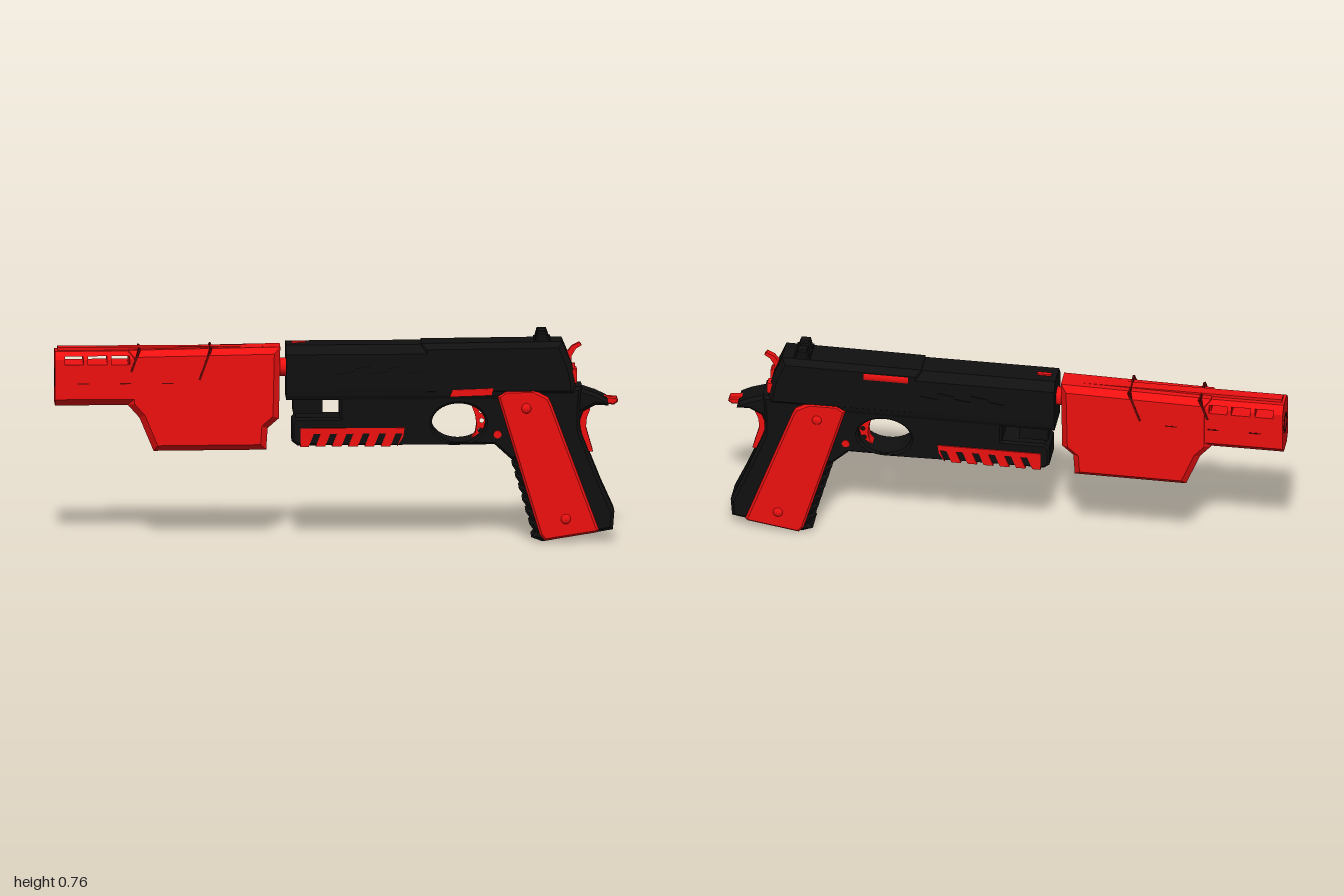
import * as THREE from 'three';

const red = new THREE.MeshStandardMaterial({ color: 0xee1010 });
const black = new THREE.MeshStandardMaterial({ color: 0x101010 });
const darkRed = new THREE.MeshStandardMaterial({ color: 0x5a0505 });

const toShape = (pts) => new THREE.Shape(pts.map(([x, y]) => new THREE.Vector2(x, y)));

export function createModel() {
  const model = new THREE.Group();

  function add(name, geo, mat, x = 0, y = 0, z = 0) {
    const mesh = new THREE.Mesh(geo, mat);
    mesh.name = name;
    mesh.position.set(x, y, z);
    model.add(mesh);
    return mesh;
  }
  // Side outline in x/y, given thickness between z0 and z1, chamfered edges
  function plate(name, outline, z0, z1, mat, bevel = 0) {
    const shape = Array.isArray(outline) ? toShape(outline) : outline;
    const geo = new THREE.ExtrudeGeometry(shape, {
      depth: z1 - z0 - 2 * bevel, bevelEnabled: bevel > 0, bevelSegments: 1,
      bevelSize: bevel, bevelThickness: bevel, bevelOffset: -bevel, curveSegments: 20,
    });
    return add(name, geo.translate(0, 0, z0 + bevel), mat);
  }
  // Cross-section of [half width, y] pairs, mirrored and run along x
  function bar(name, half, x0, x1, mat, z = 0) {
    const pts = [...half, ...half.slice().reverse().map(([w, y]) => [-w, y])];
    const geo = new THREE.ExtrudeGeometry(toShape(pts), { depth: x1 - x0, bevelEnabled: false });
    return add(name, geo.rotateY(Math.PI / 2), mat, x0, 0, z);
  }
  function box(name, x0, x1, y0, y1, z0, z1, mat) {
    return add(name, new THREE.BoxGeometry(x1 - x0, y1 - y0, z1 - z0), mat,
      (x0 + x1) / 2, (y0 + y1) / 2, (z0 + z1) / 2);
  }

  // Front shroud: vented barrel end, deep body behind it
  const sz = -0.006;
  bar('shroudFrontLower', [[0.035, 0.5], [0.06, 0.525], [0.06, 0.65]], -1, -0.62, red, sz);
  bar('shroudFrontCap', [[0.053, 0.68], [0.035, 0.695]], -1, -0.62, red, sz);
  for (const [x0, x1] of [[-1, -0.965], [-0.9, -0.883], [-0.815, -0.8], [-0.735, -0.62]])
    bar('shroudVentPost', [[0.06, 0.65], [0.06, 0.668], [0.053, 0.68]], x0, x1, red, sz);
  plate('shroudBody', [[-0.74, 0.5], [-0.7, 0.455], [-0.65, 0.335], [-0.25, 0.337], [-0.245, 0.415],
    [-0.205, 0.45], [-0.2, 0.707], [-0.74, 0.698]], sz - 0.061, sz + 0.061, red, 0.022);
  bar('shroudTopRib', [[0.018, 0.69], [0.018, 0.706]], -0.99, -0.21, red, sz);
  for (const [x, y, len] of [[-0.715, 0.663, 0.085], [-0.467, 0.65, 0.12]]) {
    const seam = add('shroudSeam', new THREE.BoxGeometry(0.008, len, 0.124), darkRed, x, y, sz);
    seam.rotation.z = -0.35;
  }
  for (const x of [-0.9, -0.75, -0.6])
    box('shroudMark', x - 0.02, x + 0.02, 0.58, 0.584, sz - 0.062, sz + 0.062, darkRed);
  const ring = add('muzzleRing', new THREE.TorusGeometry(0.032, 0.006, 8, 24), black, -1, 0.6, sz);
  ring.rotation.y = Math.PI / 2;
  ring.scale.z = 0.3;
  const link = add('barrelLink', new THREE.CylinderGeometry(0.033, 0.033, 0.1, 20), red, -0.19, 0.63, 0);
  link.rotation.z = Math.PI / 2;

  // Slide with chamfered top
  bar('slide', [[0.06, 0.52], [0.067, 0.535], [0.07, 0.56], [0.07, 0.685], [0.045, 0.716]], -0.18, 0.68, black);
  plate('slideRear', [[0.3, 0.53], [0.85, 0.53], [0.848, 0.58], [0.835, 0.64], [0.8, 0.724], [0.3, 0.72]],
    -0.07, 0.07, black, 0.02);
  for (let i = 0; i < 5; i++)
    for (const s of [-1, 1]) {
      const cut = add('slideGroove', new THREE.BoxGeometry(0.06, 0.008, 0.004), black,
        0.03 + i * 0.06, 0.615 + (i % 2) * 0.018, s * 0.071);
      cut.rotation.z = 0.15;
    }
  box('frontSight', -0.16, -0.11, 0.71, 0.722, -0.012, 0.002, red);
  for (const s of [-1, 1])
    plate('rearSightPost', [[0.7, 0.715], [0.76, 0.715], [0.745, 0.758], [0.712, 0.76]],
      s < 0 ? -0.05 : 0.01, s < 0 ? -0.01 : 0.05, black, 0.006);
  box('rearSightBase', 0.7, 0.76, 0.71, 0.73, -0.05, 0.05, black);
  const port = add('chamber', new THREE.CylinderGeometry(0.032, 0.032, 0.16, 20), red, 0.425, 0.684, -0.041);
  port.rotation.z = Math.PI / 2;

  // Frame with trigger opening
  const frame = toShape([[-0.14, 0.355], [0.56, 0.355], [0.62, 0.3], [0.86, 0.4], [0.86, 0.55],
    [0.01, 0.55], [0.01, 0.455], [-0.145, 0.455], [-0.16, 0.44], [-0.16, 0.37]]);
  const opening = new THREE.Path();
  opening.absellipse(0.432, 0.433, 0.095, 0.07, 0, Math.PI * 2, true);
  frame.holes.push(opening);
  plate('frame', frame, -0.06, 0.06, black, 0.008);
  box('frontBlock', -0.155, -0.05, 0.468, 0.525, -0.05, 0.05, black);

  // Toothed red rail wrapped round the underside
  const rail = [[-0.13, 0.418], [-0.13, 0.352]];
  for (let i = 0; i < 6; i++) {
    const x = -0.1 + i * 0.058;
    rail.push([x, 0.352], [x + 0.018, 0.398], [x + 0.042, 0.398], [x + 0.024, 0.352]);
  }
  rail.push([0.235, 0.385], [0.24, 0.418]);
  plate('lowerRail', rail, -0.064, 0.064, red);

  // Trigger with lightening holes
  const trigger = toShape([[0.475, 0.5], [0.535, 0.5], [0.53, 0.4], [0.505, 0.365], [0.475, 0.365],
    [0.492, 0.39], [0.497, 0.42], [0.492, 0.455]]);
  for (const [x, y] of [[0.51, 0.4], [0.515, 0.435], [0.513, 0.47]]) {
    const hole = new THREE.Path();
    hole.absarc(x, y, 0.008, 0, Math.PI * 2, true);
    trigger.holes.push(hole);
  }
  plate('trigger', trigger, -0.02, 0.02, red);
  plate('slideStop', [[0.4, 0.53], [0.55, 0.535], [0.555, 0.56], [0.41, 0.555]], 0.05, 0.074, red);
  const pin = add('framePin', new THREE.CylinderGeometry(0.014, 0.014, 0.128, 16), red, 0.57, 0.392, 0);
  pin.rotation.x = Math.PI / 2;

  // Grip core with a ribbed front strap
  const grip = [[0.58, 0.56], [0.57, 0.36]];
  for (let i = 0; i < 7; i++) {
    const x = 0.61 + i * 0.012, y = 0.32 - i * 0.042;
    grip.push([x, y], [x + 0.022, y - 0.032]);
  }
  grip.push([0.69, 0.018], [0.73, 0.003], [0.98, 0.045], [0.985, 0.11], [0.94, 0.21], [0.9, 0.31],
    [0.865, 0.4], [0.862, 0.46], [0.87, 0.56]);
  plate('grip', grip, -0.06, 0.06, black, 0.012);
  plate('beavertail', [[0.78, 0.56], [0.86, 0.555], [0.92, 0.535], [0.96, 0.515], [0.965, 0.49],
    [0.92, 0.492], [0.875, 0.47], [0.86, 0.43], [0.78, 0.43]], -0.05, 0.05, black, 0.012);
  plate('beavertailTip', [[0.9, 0.54], [0.95, 0.52], [0.995, 0.515], [1, 0.5], [0.985, 0.488], [0.93, 0.495]],
    -0.018, 0.018, red, 0.005);
  plate('gripSafety', [[0.85, 0.46], [0.867, 0.467], [0.862, 0.42], [0.873, 0.375], [0.892, 0.322],
    [0.91, 0.322], [0.885, 0.41], [0.888, 0.445], [0.9, 0.475], [0.85, 0.49]], -0.031, 0.031, red);

  // Side panels and screws, mirrored
  const panel = [[0.57, 0.53], [0.6, 0.552], [0.7, 0.552], [0.75, 0.525], [0.762, 0.5],
    [0.93, 0.045], [0.92, 0.037], [0.738, 0.008], [0.72, 0.03]];
  for (const s of [-1, 1]) {
    plate('gripPanel', panel, s < 0 ? -0.073 : 0.05, s < 0 ? -0.05 : 0.073, red, 0.008);
    for (const [x, y] of [[0.672, 0.487], [0.812, 0.087]]) {
      const screw = add('gripScrew', new THREE.SphereGeometry(0.018, 16, 10), red, x, y, s * 0.072);
      screw.scale.z = 0.5;
    }
  }

  // Hammer and rear safety pieces
  plate('hammer', [[0.8, 0.63], [0.835, 0.63], [0.835, 0.665], [0.85, 0.69], [0.87, 0.703], [0.862, 0.713],
    [0.835, 0.7], [0.815, 0.675]], -0.01, 0.01, red);
  box('safetyLeft', 0.82, 0.853, 0.575, 0.622, 0.022, 0.054, red);
  box('safetyLeftTab', 0.82, 0.846, 0.62, 0.642, 0.02, 0.028, red);
  box('safetyRight', 0.82, 0.853, 0.575, 0.615, -0.057, -0.022, red);
  return model;
}
